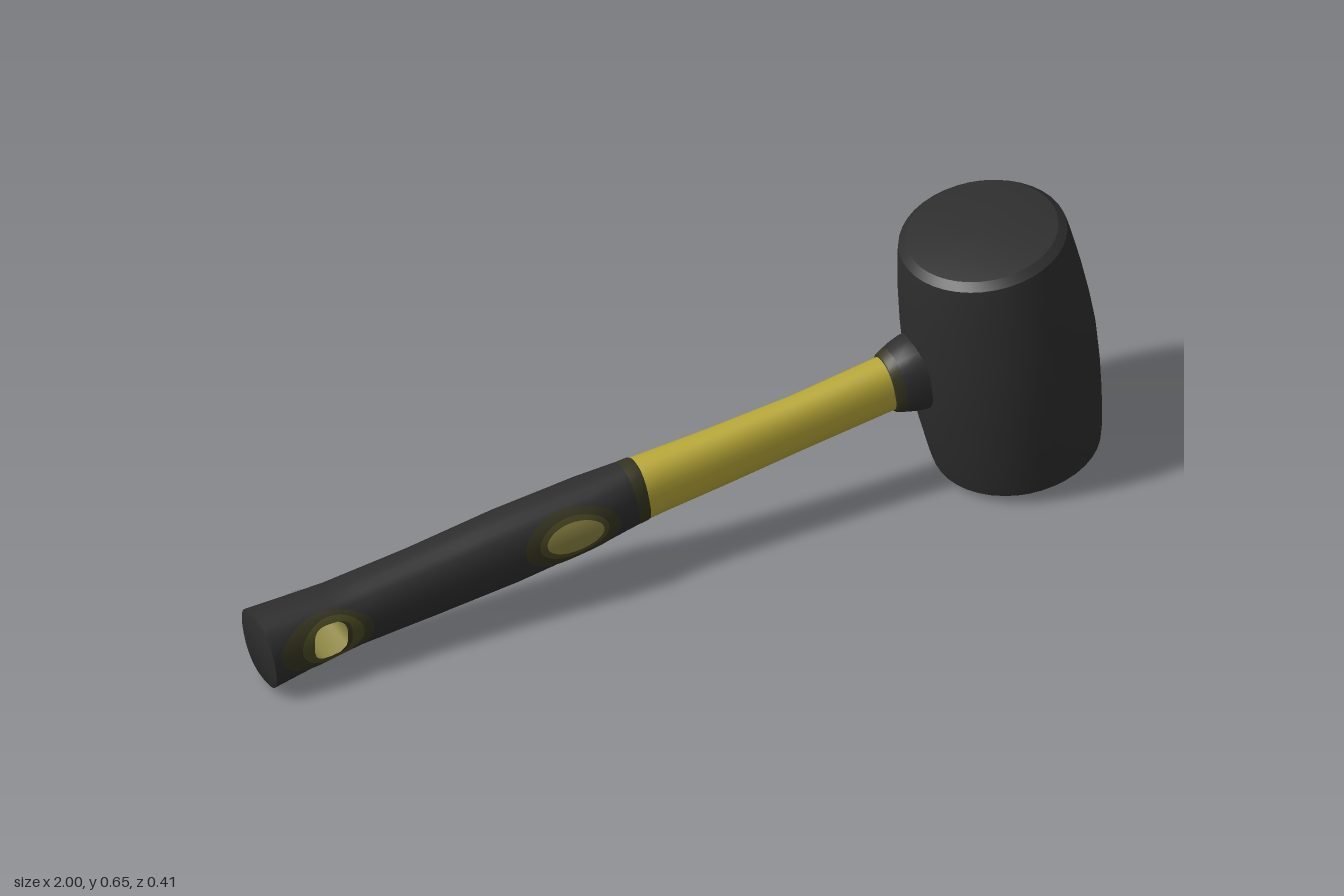
import * as THREE from 'three';
import { toCreasedNormals } from 'three/addons/utils/BufferGeometryUtils.js';

const mat = (name, color) => {
  const m = new THREE.MeshStandardMaterial({ color });
  m.name = name;
  return m;
};

// Handle sections: station, top y, bottom y, half depth
const SECTIONS = [
  [-0.99, 0.205, 0.018, 0.074], [-0.9, 0.208, 0.04, 0.071], [-0.8, 0.212, 0.06, 0.067],
  [-0.6, 0.238, 0.076, 0.064], [-0.4, 0.268, 0.098, 0.067], [-0.2, 0.288, 0.13, 0.066],
  [-0.08, 0.3, 0.152, 0.052], [0.1, 0.315, 0.175, 0.046], [0.3, 0.335, 0.205, 0.042],
  [0.5, 0.365, 0.235, 0.045], [0.62, 0.38, 0.25, 0.046],
];
const Z0 = -0.004, SHEAR = 0.16, POWER = 2.4, SIDES = 24;

function section(s) {
  let i = 0;
  while (i < SECTIONS.length - 2 && s > SECTIONS[i + 1][0]) i++;
  const a = SECTIONS[i], b = SECTIONS[i + 1];
  const t = THREE.MathUtils.clamp((s - a[0]) / (b[0] - a[0]), 0, 1);
  const [top, bottom, hz] = [1, 2, 3].map(k => a[k] + (b[k] - a[k]) * t);
  return { c: (top + bottom) / 2, hy: (top - bottom) / 2, hz };
}

const spow = v => Math.sign(v) * Math.abs(v) ** (2 / POWER);

// Point on the handle at a station and angle (0 = front, 90 degrees = top)
function handlePoint(s, angle, scale = 1, grow = 0) {
  const { c, hy, hz } = section(s);
  const dy = spow(Math.sin(angle)) * (hy + grow) * scale;
  return [s - SHEAR * dy, c + dy, Z0 + spow(Math.cos(angle)) * (hz + grow) * scale];
}

// Depth of the handle's surface at a given x and y
function depthAt(x, y) {
  const s = x + SHEAR * (y - section(x).c);
  const { c, hy, hz } = section(s);
  const v = Math.min(0.99, Math.abs(y - c) / hy);
  return hz * (1 - v ** POWER) ** (1 / POWER);
}

// Skin a grid of rows; each row is a list of points
function skin(rows, { closed = true, flip = false, skip = () => false } = {}) {
  const n = rows[0].length, index = [];
  for (let i = 0; i < rows.length - 1; i++) {
    for (let j = 0; j < (closed ? n : n - 1); j++) {
      if (skip(i, j)) continue;
      const k = (j + 1) % n;
      const a = i * n + j, b = a + n, c = (i + 1) * n + k, d = i * n + k;
      index.push(...(flip ? [a, c, b, a, d, c] : [a, b, c, a, c, d]));
    }
  }
  const g = new THREE.BufferGeometry();
  g.setAttribute('position', new THREE.Float32BufferAttribute(rows.flat(2), 3));
  g.setIndex(index);
  g.computeVertexNormals();
  return g;
}

const ring = (s, scale = 1, grow = 0) =>
  Array.from({ length: SIDES }, (_, j) => handlePoint(s, j / SIDES * Math.PI * 2, scale, grow));

// Thin oval plate that follows the handle, from an inner to an outer outline
function ovalPlate(cx, cy, inner, outer, side, lift) {
  const rows = [];
  for (let i = 0; i <= 6; i++) {
    const row = [];
    for (let j = 0; j < 40; j++) {
      const a = j / 40 * Math.PI * 2, t = i / 6;
      const co = Math.cos(a), si = Math.sin(a);
      const sq = p => Math.sign(p) * Math.abs(p) ** 0.65;
      const x = cx + inner[0] * sq(co) * (1 - t) + outer[0] * co * t;
      const y = cy + inner[1] * sq(si) * (1 - t) + outer[1] * si * t;
      row.push([x, y, Z0 + side * (depthAt(x, y) + lift)]);
    }
    rows.push(row);
  }
  return skin(rows, { flip: side < 0 });
}

export function createModel() {
  const black = mat('black rubber', 0x2e2e2e);
  const yellow = mat('yellow', 0xb8a838);
  const dullYellow = mat('dull yellow', 0x8c8443);
  const olive = mat('olive', 0x4a4823);
  const darkOlive = mat('dark olive', 0x363521);

  const model = new THREE.Group();
  model.name = 'mallet';
  const add = (name, geometry, material, parent = model) => {
    const m = new THREE.Mesh(geometry, material);
    m.name = name;
    parent.add(m);
    return m;
  };

  // Barrel-shaped head, leaning back along the handle
  const half = [[0.207, 0], [0.204, 0.08], [0.197, 0.17], [0.186, 0.265], [0.181, 0.288],
    [0.164, 0.303], [0.11, 0.311], [0, 0.314]];
  const profile = [...half.slice(1).reverse().map(([r, y]) => [r, -y]), ...half]
    .map(([r, y]) => new THREE.Vector2(r, y));
  const head = add('head', toCreasedNormals(new THREE.LatheGeometry(profile, 40), 0.45), black);
  head.position.set(0.778, 0.331, 0);
  head.rotation.z = THREE.MathUtils.degToRad(8);

  // Grip with a hanging hole cut through front and back
  const handle = new THREE.Group();
  handle.name = 'handle';
  model.add(handle);
  const stations = [-0.985, -0.97, -0.93, -0.89, -0.86, -0.83, -0.8, -0.75, -0.7, -0.6, -0.5,
    -0.4, -0.3, -0.2, -0.15, -0.11];
  const first = 3, last = 6; // stations bounding the hole
  const gripRows = stations.map(s => ring(s));
  for (const i of [first, last]) {
    for (const j of [2, 10, 14, 22]) { // round the hole's corners
      const up = j < 12 ? 1 : -1, p = gripRows[i][j];
      p[0] += (i === first ? 1 : -1) * 0.012;
      p[1] -= up * 0.007;
    }
  }
  const inHole = j => j < 2 || j >= 22 || (j >= 10 && j < 14);
  gripRows.unshift(ring(-0.989, 0), ring(-0.989, 0.9));
  const grip = skin(gripRows, { skip: (i, j) => i - 2 >= first && i - 2 < last && inHole(j) });
  add('grip', toCreasedNormals(grip, 0.6), black, handle);

  // Walls of the hanging hole
  const order = [];
  for (let i = first; i < last; i++) order.push([i, 22]);
  for (const j of [22, 23, 0, 1]) order.push([last, j]);
  for (let i = last; i > first; i--) order.push([i, 2]);
  for (const j of [2, 1, 0, 23]) order.push([first, j]);
  const front = order.map(([i, j]) => gripRows[i + 2][j]);
  const back = front.map(([x, y, z]) => [x, y, 2 * Z0 - z]);
  add('hangingHoleWall', skin([front, back], { flip: true }), dullYellow, handle);

  // Oval insets on both sides of the grip
  for (const side of [1, -1]) {
    const where = side > 0 ? 'Front' : 'Back';
    add('holeSurround' + where,
      ovalPlate(-0.857, 0.131, [0.048, 0.045], [0.113, 0.067], side, 0.002), darkOlive, handle);
    add('holeRim' + where,
      ovalPlate(-0.845, 0.133, [0.046, 0.042], [0.075, 0.056], side, 0.004), olive, handle);
    add('insetSurround' + where,
      ovalPlate(-0.27, 0.203, [0, 0], [0.115, 0.068], side, 0.002), darkOlive, handle);
    add('insetRim' + where,
      ovalPlate(-0.268, 0.206, [0, 0], [0.083, 0.05], side, 0.004), olive, handle);
    add('inset' + where,
      ovalPlate(-0.267, 0.207, [0, 0], [0.068, 0.038], side, 0.006), dullYellow, handle);
  }

  // Band, shaft and collar along the handle
  add('gripBand', skin([ring(-0.11), ring(-0.085, 1, 0.001), ring(-0.075, 0.97)]), darkOlive, handle);
  add('shaft', skin([-0.1, -0.04, 0.02, 0.1, 0.2, 0.3, 0.4, 0.5, 0.62].map(s => ring(s, 0.985))),
    yellow, handle);
  add('collarLip', skin([ring(0.508, 0.98), ring(0.51, 1, 0.005), ring(0.53, 1, 0.012)]),
    darkOlive, handle);
  add('collar', skin([ring(0.53, 1, 0.012), ring(0.55, 1, 0.018), ring(0.575, 1, 0.023),
    ring(0.62, 1, 0.024)]), black, handle);

  return model;
}
